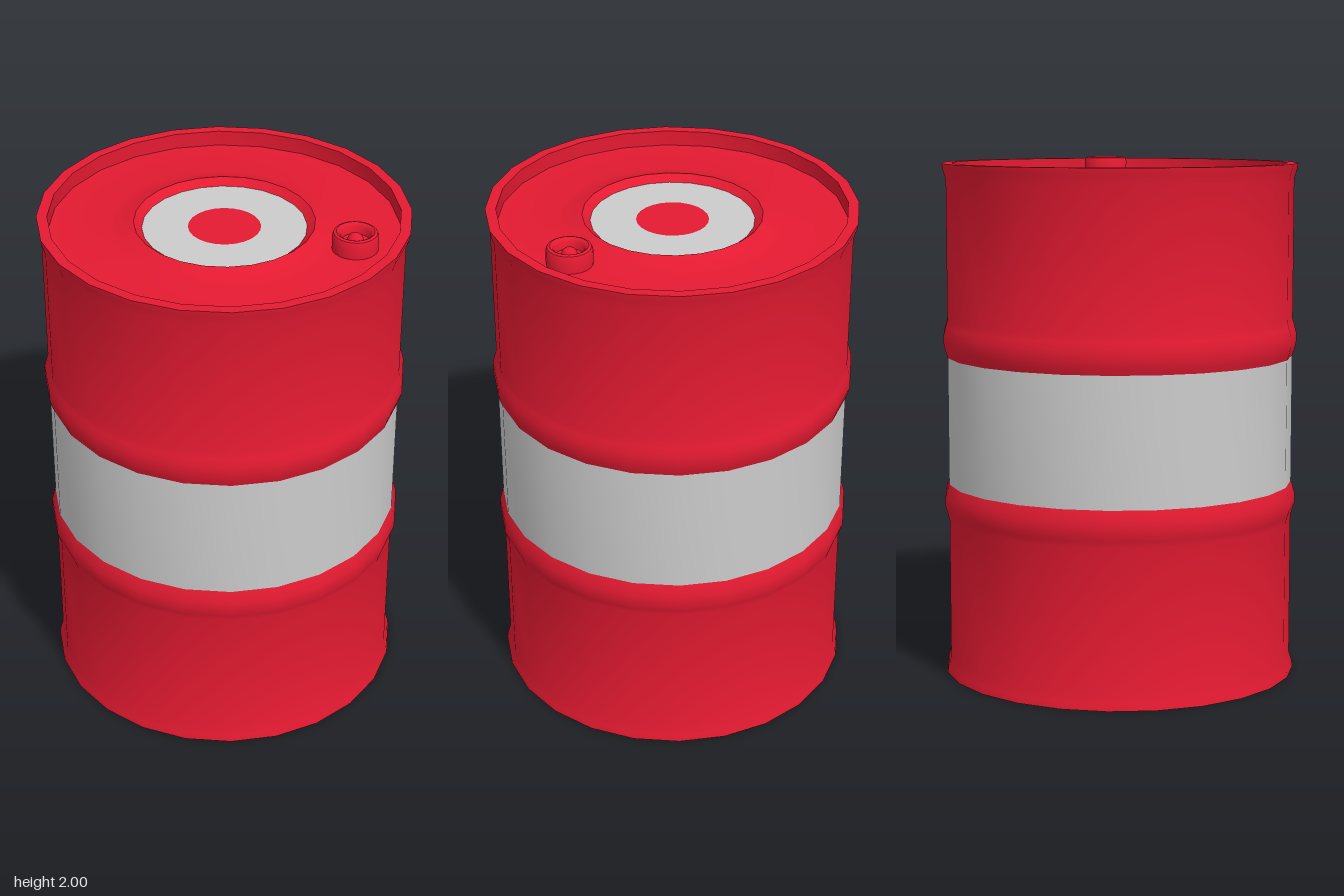
import * as THREE from 'three';
import { toCreasedNormals } from 'three/addons/utils/BufferGeometryUtils.js';

const SIDES = 24;
const red = new THREE.MeshStandardMaterial({ color: 0xe41a31 });
const grey = new THREE.MeshStandardMaterial({ color: 0xcccccc });

// Revolve a [radius, height] profile; sharp edges stay sharp
function turned(name, profile, material, sides = SIDES) {
  const points = profile.map(([r, y]) => new THREE.Vector2(r, y));
  const geometry = toCreasedNormals(new THREE.LatheGeometry(points, sides), 0.6);
  const mesh = new THREE.Mesh(geometry, material);
  mesh.name = name;
  return mesh;
}

export function createModel() {
  const barrel = new THREE.Group();
  barrel.name = 'barrel';

  // Recessed base, lower wall and lower rib
  barrel.add(turned('lowerShell', [
    [0, 0.055], [0.65, 0.055], [0.65, 0], [0.69, 0], [0.686, 0.025], [0.675, 0.06],
    [0.675, 0.61], [0.682, 0.635], [0.69, 0.66], [0.69, 0.7], [0.682, 0.73], [0.675, 0.75],
  ], red));

  // Painted band around the middle
  barrel.add(turned('middleBand', [[0.675, 0.75], [0.675, 1.245]], grey));

  // Upper rib, wall, rim and sunken lid with a raised lip round the cap
  barrel.add(turned('upperShell', [
    [0.675, 1.245], [0.682, 1.265], [0.69, 1.295], [0.69, 1.335], [0.682, 1.365], [0.675, 1.39],
    [0.675, 1.93], [0.686, 1.965], [0.69, 1.99], [0.65, 1.99], [0.65, 1.93],
    [0.43, 1.93], [0.38, 1.943], [0.335, 1.96], [0.305, 1.935],
  ], red));

  // Two-colour cap in the centre of the lid
  barrel.add(turned('capRing', [[0.305, 1.935], [0.135, 1.935]], grey));
  barrel.add(turned('capCentre', [[0.135, 1.935], [0, 1.935]], red));

  // Filler spout: hollow collar with a small knob inside
  const spout = new THREE.Group();
  spout.name = 'fillerSpout';
  spout.position.set(0.32, 1.93, 0.38);
  spout.add(turned('spoutCollar', [
    [0.085, 0], [0.085, 0.055], [0.08, 0.066], [0.07, 0.07], [0.062, 0.066],
    [0.055, 0.055], [0.052, 0.03], [0, 0.03],
  ], red));
  const knob = new THREE.Mesh(new THREE.SphereGeometry(0.03, 16, 10), red);
  knob.name = 'spoutKnob';
  knob.position.y = 0.033;
  spout.add(knob);
  barrel.add(spout);

  return barrel;
}
